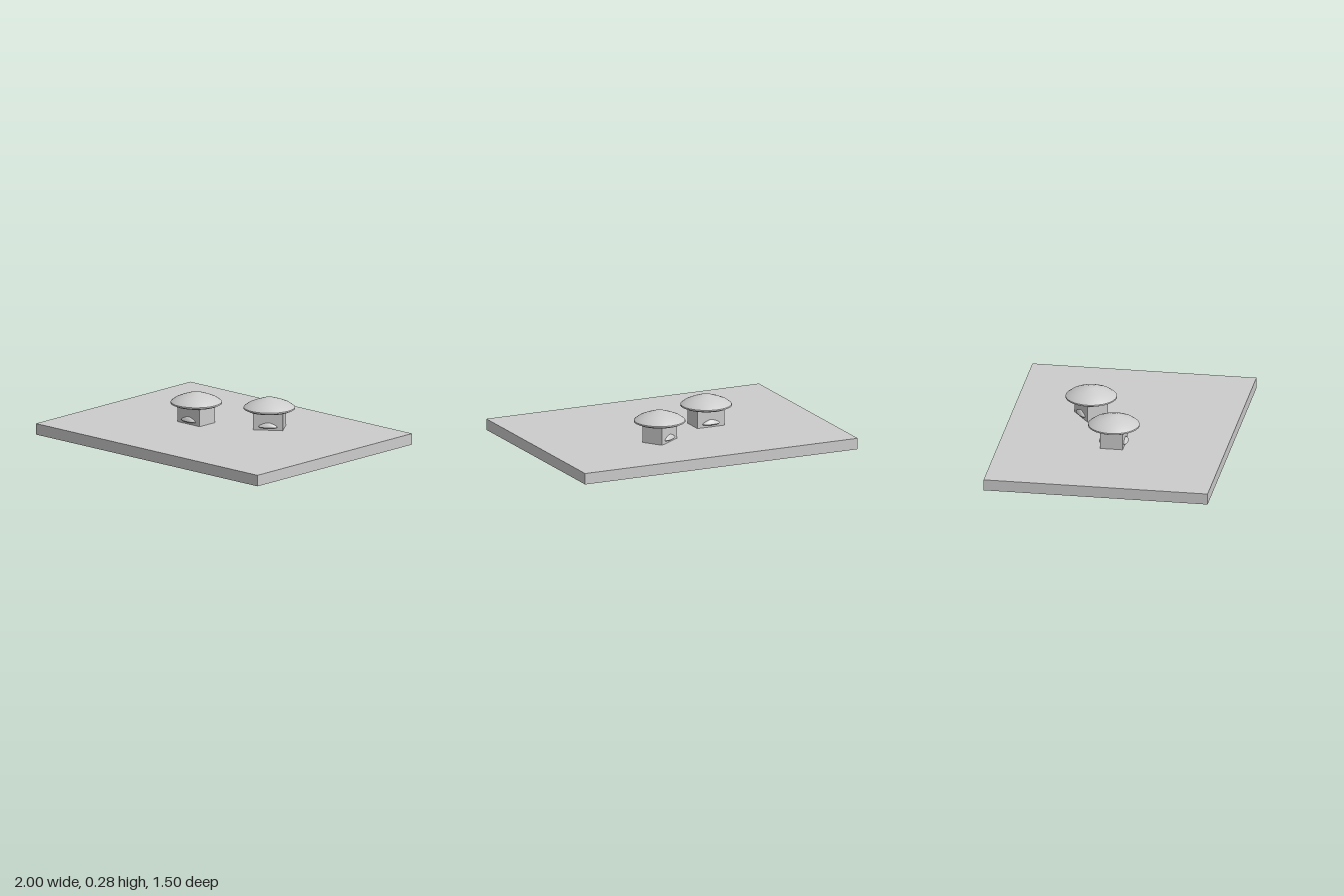
import * as THREE from 'three';
import { toCreasedNormals } from 'three/addons/utils/BufferGeometryUtils.js';

const grey = new THREE.MeshStandardMaterial({ color: 0xcccccc });
grey.name = 'plain grey';

const BASE_TOP = 0.075;

function part(name, geometry, x, y, z) {
  const mesh = new THREE.Mesh(geometry, grey);
  mesh.name = name;
  mesh.position.set(x, y, z);
  return mesh;
}

// Shallow dome with a narrow rim and a nearly flat underside; y = 0 at its lowest point
const domeProfile = [
  [0, 0], [0.08, 0.003], [0.15, 0.012], [0.171, 0.022], [0.17, 0.031],
  [0.14, 0.053], [0.095, 0.072], [0.035, 0.092], [0, 0.094],
].map(([r, y]) => new THREE.Vector2(r, y));
const domeGeometry = toCreasedNormals(new THREE.LatheGeometry(domeProfile, 32), 0.6);

// Hut: block walls, domed roof, and a flattened lens set into the front and back walls
function createHut(name, x, z, turn) {
  const hut = new THREE.Group();
  hut.name = name;
  hut.position.set(x, BASE_TOP, z);
  hut.rotation.y = turn;
  hut.add(part('walls', new THREE.BoxGeometry(0.2, 0.125, 0.15), 0, 0.0625, 0));
  hut.add(part('roof', domeGeometry, 0, 0.11, 0));
  for (const side of [1, -1]) {
    const lens = part(side > 0 ? 'frontLens' : 'backLens', domeGeometry, 0, 0.012, side * 0.075);
    lens.scale.set(0.37, 0.41, 0.125);
    hut.add(lens);
  }
  return hut;
}

export function createModel() {
  const model = new THREE.Group();
  model.name = 'twoHutsOnSlab';
  model.add(part('baseSlab', new THREE.BoxGeometry(2, BASE_TOP, 1.5), 0, BASE_TOP / 2, 0));
  model.add(createHut('rightHut', -0.25, 0, 0));
  model.add(createHut('leftHut', 0.2, -0.225, THREE.MathUtils.degToRad(35)));
  return model;
}
